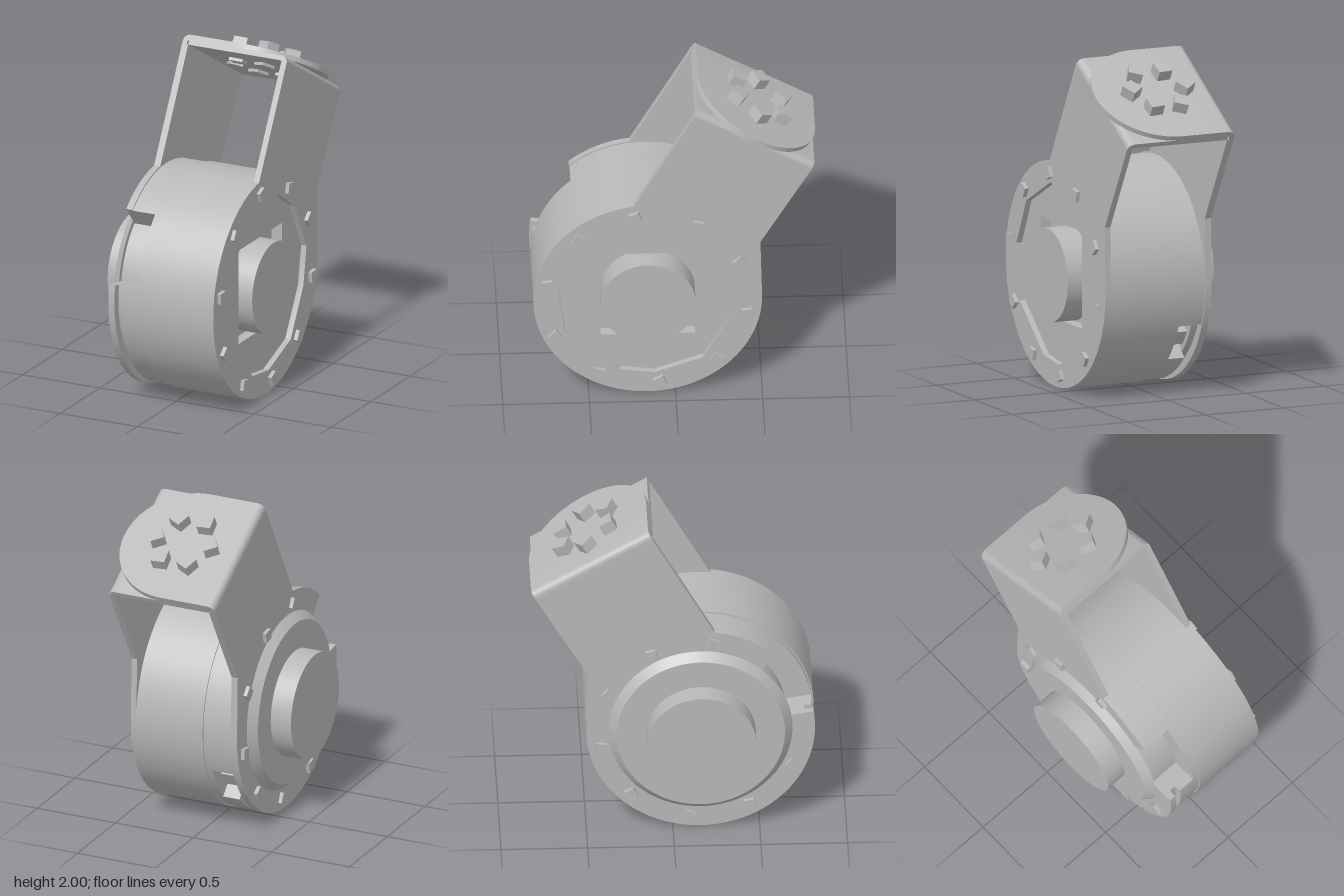
import * as THREE from 'three';
import { toCreasedNormals } from 'three/addons/utils/BufferGeometryUtils.js';

const CY = 0.665, CZ = 0.16, R = 0.66;
const rad = THREE.MathUtils.degToRad;

export function createModel() {
  const root = new THREE.Group();
  root.name = 'motorWithBracket';
  const metal = new THREE.MeshStandardMaterial({ color: 0xb8b8b8 });
  metal.name = 'grey metal';

  const add = (name, geo, parent = root) => {
    const m = new THREE.Mesh(geo, metal);
    m.name = name;
    parent.add(m);
    return m;
  };

  // Disc or cone along x, on the motor axis
  const disc = (name, x0, x1, rLow, rHigh = rLow) => {
    const g = new THREE.CylinderGeometry(rLow, rHigh, x1 - x0, 96);
    g.rotateZ(Math.PI / 2);
    g.translate((x0 + x1) / 2, CY, CZ);
    return add(name, g);
  };

  // Side profile (z, y) extruded along x
  const slab = (name, shape, x0, x1) => {
    const g = new THREE.ExtrudeGeometry(shape, { depth: x1 - x0, bevelEnabled: false, curveSegments: 64 });
    g.rotateY(-Math.PI / 2);
    g.translate(x1, 0, 0);
    return add(name, toCreasedNormals(g, 0.4));
  };

  // Part of a ring between two angles, measured from the front upwards
  const sector = (name, x0, x1, rIn, rOut, a0, a1) => {
    const s = new THREE.Shape();
    s.absarc(CZ, CY, rOut, rad(a0), rad(a1), false);
    s.absarc(CZ, CY, rIn, rad(a1), rad(a0), true);
    s.closePath();
    return slab(name, s, x0, x1);
  };

  // Motor drum
  disc('drum', -0.06, 0.3, R);
  const end = new THREE.Shape();
  end.absarc(CZ, CY, R, 0, Math.PI * 2, false);
  const pocket = new THREE.Path();
  pocket.setFromPoints([[-0.115, 0.39], [-0.115, 0.96], [0.43, 0.96], [0.43, 0.39]]
    .map(([z, y]) => new THREE.Vector2(z, y)));
  end.holes.push(pocket);
  slab('drumEnd', end, 0.3, 0.365);

  // Rear housing with a front window and a smaller one low at the back
  disc('housingCore', -0.28, -0.06, 0.5);
  disc('housingRim', -0.095, -0.06, 0.652);
  sector('housingTop', -0.24, -0.095, 0.49, 0.652, 49, 202);
  sector('housingBottom', -0.2, -0.095, 0.49, 0.652, 225, 369);
  sector('housingGroove', -0.24, -0.2, 0.49, 0.61, 202, 369);
  const plug = add('cablePlug', new THREE.BoxGeometry(0.09, 0.1, 0.1));
  plug.position.set(-0.15, CY - 0.31, CZ - 0.44);
  plug.rotation.x = rad(-35);

  // Hubs on both sides
  disc('rightHubStep', -0.33, -0.28, 0.485, 0.53);
  disc('rightHub', -0.46, -0.33, 0.317);
  disc('leftHub', 0.3, 0.455, 0.275);

  // Side plates: round flange that grows into a slanted arm
  const plateShape = (windowCut) => {
    const s = new THREE.Shape();
    s.moveTo(-0.112, 1.953);
    s.lineTo(-0.788, 1.563);
    s.lineTo(-0.49, 1.05);
    if (windowCut) {
      s.absarc(CZ, CY, R, Math.PI, rad(369), false);
      s.absarc(CZ, CY, 0.49, rad(9), rad(49), false);
      s.absarc(CZ, CY, R, rad(49), rad(83), false);
    } else {
      s.absarc(CZ, CY, R, Math.PI, rad(443), false);
    }
    s.closePath();
    return s;
  };
  slab('rightSidePlate', plateShape(true), -0.28, -0.24);
  const leftPlate = plateShape(false);
  leftPlate.holes.push(new THREE.Path([
    [0.235, 1.19], [-0.01, 1.17], [-0.21, 1.04], [-0.36, 0.75], [-0.32, 0.52], [-0.16, 0.24],
    [0.12, 0.14], [0.32, 0.165], [0.635, 0.43], [0.68, 0.76], [0.55, 1.03],
  ].map(([z, y]) => new THREE.Vector2(z, y))));
  slab('leftSidePlate', leftPlate, 0.365, 0.4);

  // Square bolt heads around both flanges
  for (const side of [1, -1]) {
    for (let i = 0; i < 10; i++) {
      const deg = 11 + i * 36;
      if (side < 0 && i < 2) continue; // window
      const a = rad(deg);
      const b = add('flangeBolt', new THREE.BoxGeometry(0.04, 0.062, 0.062));
      b.position.set(side > 0 ? 0.403 : -0.282, CY + 0.587 * Math.sin(a), CZ + 0.587 * Math.cos(a));
      b.rotation.x = -a + 0.3;
    }
  }

  // Bracket top, tilted backwards
  const top = new THREE.Group();
  top.name = 'bracketTop';
  top.position.set(0, 1.81, -0.48);
  top.rotation.x = rad(-30);
  root.add(top);

  // Bent strip: wall bottom, rounded corner, then a tongue across
  const bend = (name, xOut, dir, y, t, xEnd) => {
    const r = 0.05, s = new THREE.Shape();
    const X = (d) => xOut + dir * d;
    s.moveTo(X(0), -0.065);
    s.lineTo(X(0), y - r);
    s.quadraticCurveTo(X(0), y, X(r), y);
    s.lineTo(xEnd, y);
    s.lineTo(xEnd, y - t);
    s.lineTo(X(r), y - t);
    s.quadraticCurveTo(X(t), y - t, X(t), y - r);
    s.lineTo(X(t), -0.065);
    s.closePath();
    const g = new THREE.ExtrudeGeometry(s, { depth: 0.78, bevelEnabled: false, curveSegments: 10 });
    g.translate(0, 0, -0.39);
    add(name, toCreasedNormals(g, 0.5), top);
  };
  bend('upperTongue', -0.28, 1, 0, 0.03, 0.06);
  bend('lowerTongue', 0.4, -1, -0.03, 0.03, -0.24);

  // Rounded end of the upper tongue
  const half = new THREE.CylinderGeometry(0.39, 0.39, 0.03, 64, 1, false, 0, Math.PI);
  half.translate(0.06, -0.015, 0);
  add('tongueRoundEnd', half, top);

  // Bolts through the bracket top
  for (let i = 0; i < 6; i++) {
    const a = i * Math.PI / 3;
    const b = add('topBolt', new THREE.BoxGeometry(0.085, 0.145, 0.085), top);
    b.position.set(0.063 + 0.17 * Math.cos(a), -0.005, 0.17 * Math.sin(a));
    b.rotation.y = -a + 0.6;
  }
  return root;
}
